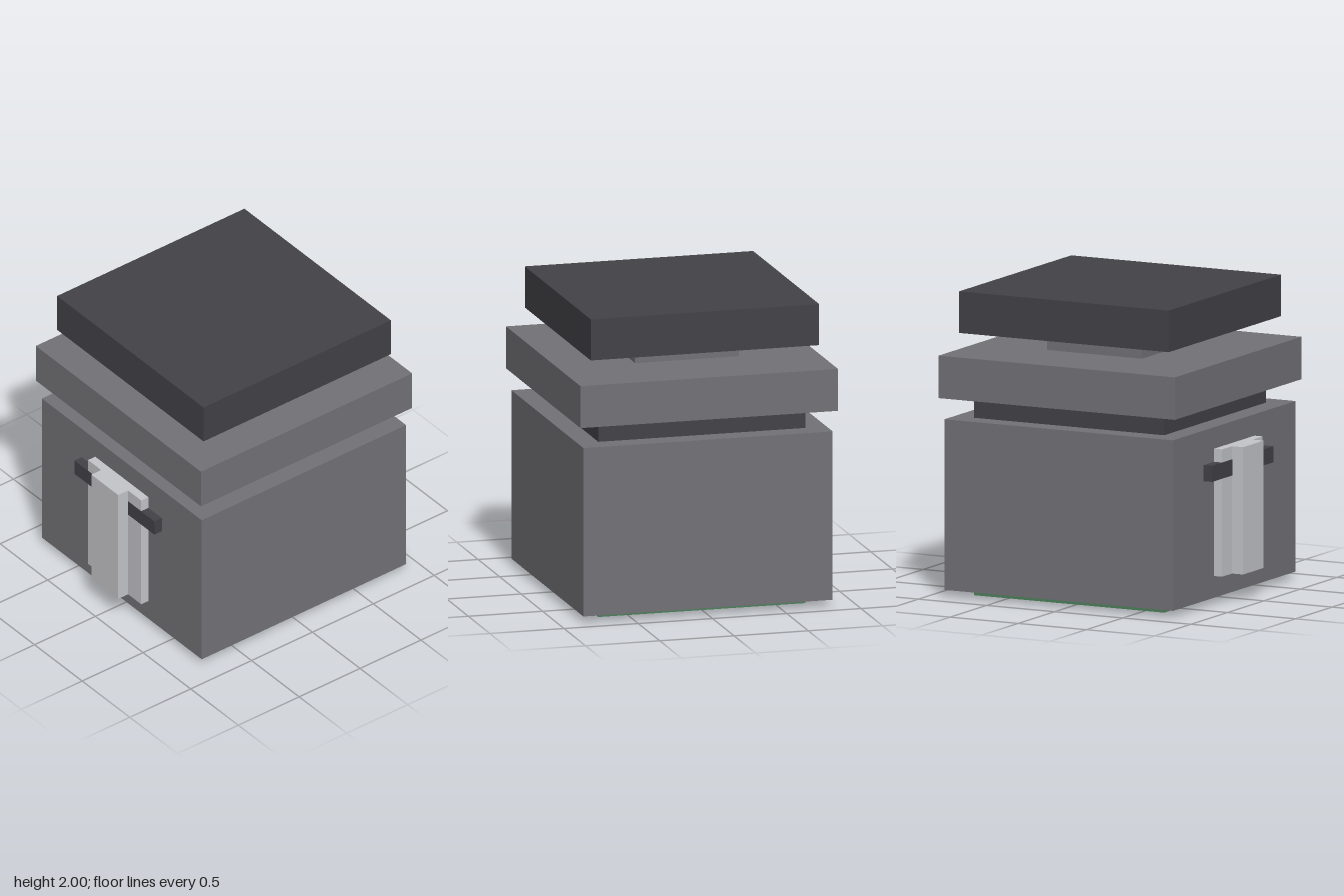
import * as THREE from 'three';

const mat = (name, color) => {
  const m = new THREE.MeshStandardMaterial({ color });
  m.name = name;
  return m;
};

export function createModel() {
  const group = new THREE.Group();
  group.name = 'steppedBlock';
  const grey = mat('midGrey', 0x727176);
  const dark = mat('darkGrey', 0x424146);
  const light = mat('lightGrey', 0xc3c4c8);
  const green = mat('green', 0x4a7f58);

  // Box given by half width, vertical range and depth range
  const box = (name, material, halfX, y0, y1, z0, z1) => {
    const mesh = new THREE.Mesh(new THREE.BoxGeometry(halfX * 2, y1 - y0, z1 - z0), material);
    mesh.name = name;
    mesh.position.set(0, (y0 + y1) / 2, (z0 + z1) / 2);
    group.add(mesh);
  };

  // Square tiers stacked from the ground up, on a shared axis
  const axisZ = -0.056;
  const tiers = [
    ['basePlate', green, 0.698, 0, 0.045],
    ['body', grey, 0.839, 0.045, 1.165],
    ['lowerNeck', dark, 0.698, 1.165, 1.306],
    ['collar', grey, 0.867, 1.306, 1.585],
    ['upperNeck', grey, 0.349, 1.585, 1.727],
    ['cap', dark, 0.769, 1.727, 2],
  ];
  for (const [name, material, half, y0, y1] of tiers)
    box(name, material, half, y0, y1, axisZ - half, axisZ + half);

  // Fitting on the front face: back plate, cross bar and raised rib
  const face = axisZ + 0.839;
  box('fittingPlate', light, 0.279, 0.188, 1.024, face, 0.842);
  box('crossBar', dark, 0.42, 0.832, 0.938, face, 0.844);
  box('fittingRib', light, 0.141, 0.188, 1.024, face, 0.923);

  return group;
}
